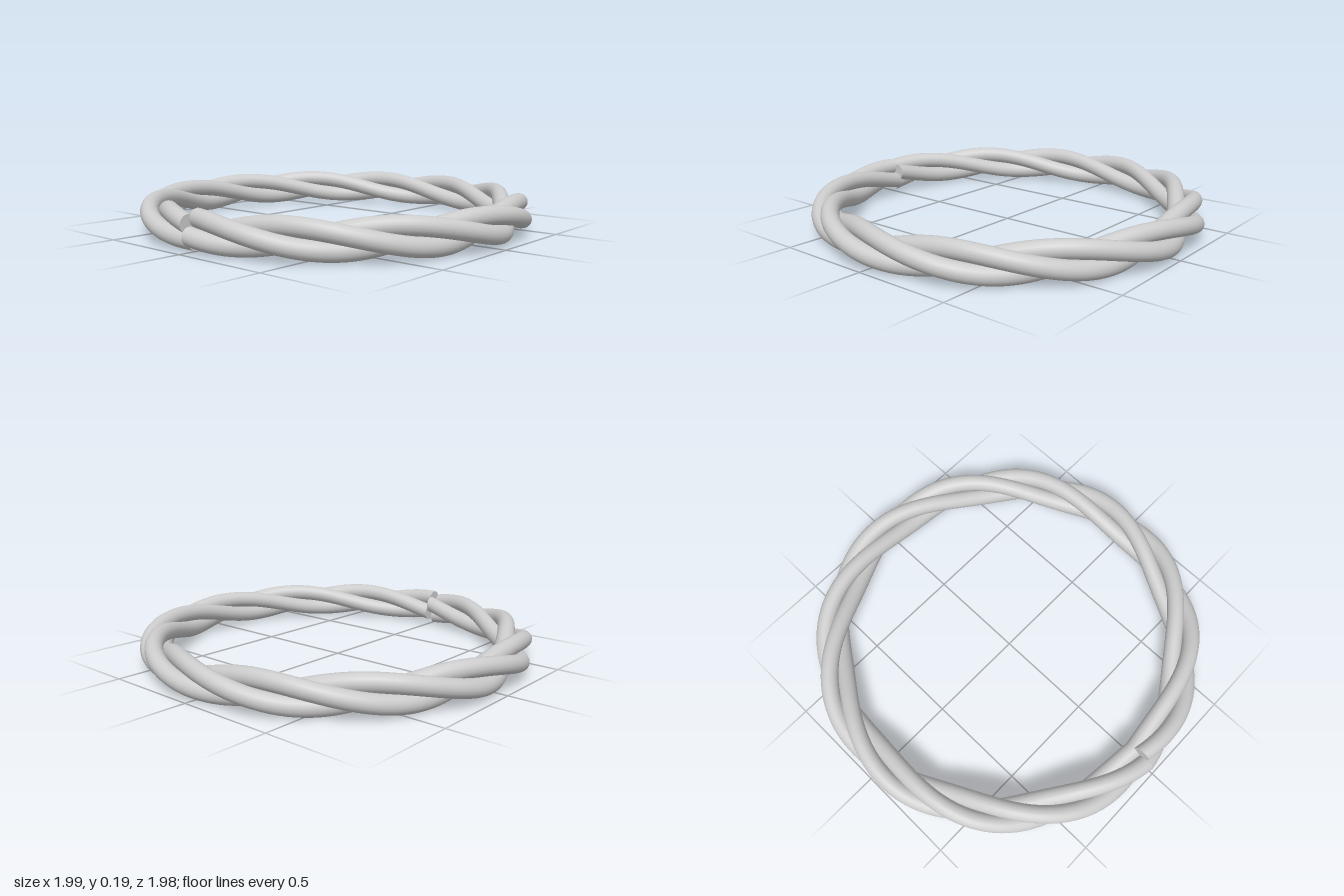
import * as THREE from 'three';
import { ParametricGeometry } from 'three/addons/geometries/ParametricGeometry.js';

const RING = 0.907;        // radius of the rope's centre line
const OFFSET = 0.051;      // strand centre from the rope's centre line
const STRAND = 0.0445;     // strand radius
const TURNS = 1500 / 360;  // twists in one trip round the ring
const START = -Math.PI / 2;
const SWEEP = Math.PI * 2 - 0.01; // leaves a hairline gap at the front

export function createModel() {
  const group = new THREE.Group();
  const material = new THREE.MeshStandardMaterial({ color: 0xcccccc });

  // Centre of a strand's section: angle round the ring, radius and height
  const section = (u, phase) => {
    const angle = START + u * SWEEP;
    const twist = Math.PI + phase - TURNS * (angle - Math.PI / 2);
    return { angle, r: RING + OFFSET * Math.cos(twist), y: OFFSET * Math.sin(twist) };
  };

  for (let i = 0; i < 3; i++) {
    const phase = (i * Math.PI * 2) / 3;
    const strand = new THREE.Group();
    strand.name = `strand${i + 1}`;

    // Round strand winding about the ring
    const body = new THREE.Mesh(new ParametricGeometry((u, v, target) => {
      const { angle, r, y } = section(u, phase);
      const a = v * Math.PI * 2;
      const rr = r + STRAND * Math.cos(a);
      target.set(rr * Math.cos(angle), y + STRAND * Math.sin(a), -rr * Math.sin(angle));
    }, 160, 20), material);
    body.name = 'strandBody';
    strand.add(body);

    // Flat cut ends at the seam
    for (const u of [0, 1]) {
      const { angle, r, y } = section(u, phase);
      const cap = new THREE.Mesh(new THREE.CircleGeometry(STRAND, 20), material);
      cap.name = u ? 'endCap' : 'startCap';
      cap.position.set(r * Math.cos(angle), y, -r * Math.sin(angle));
      cap.rotation.y = angle + u * Math.PI;
      strand.add(cap);
    }
    group.add(strand);
  }

  group.name = 'twistedRing';
  group.children.forEach((s) => s.position.set(0, 0.103, -0.01));
  return group;
}
